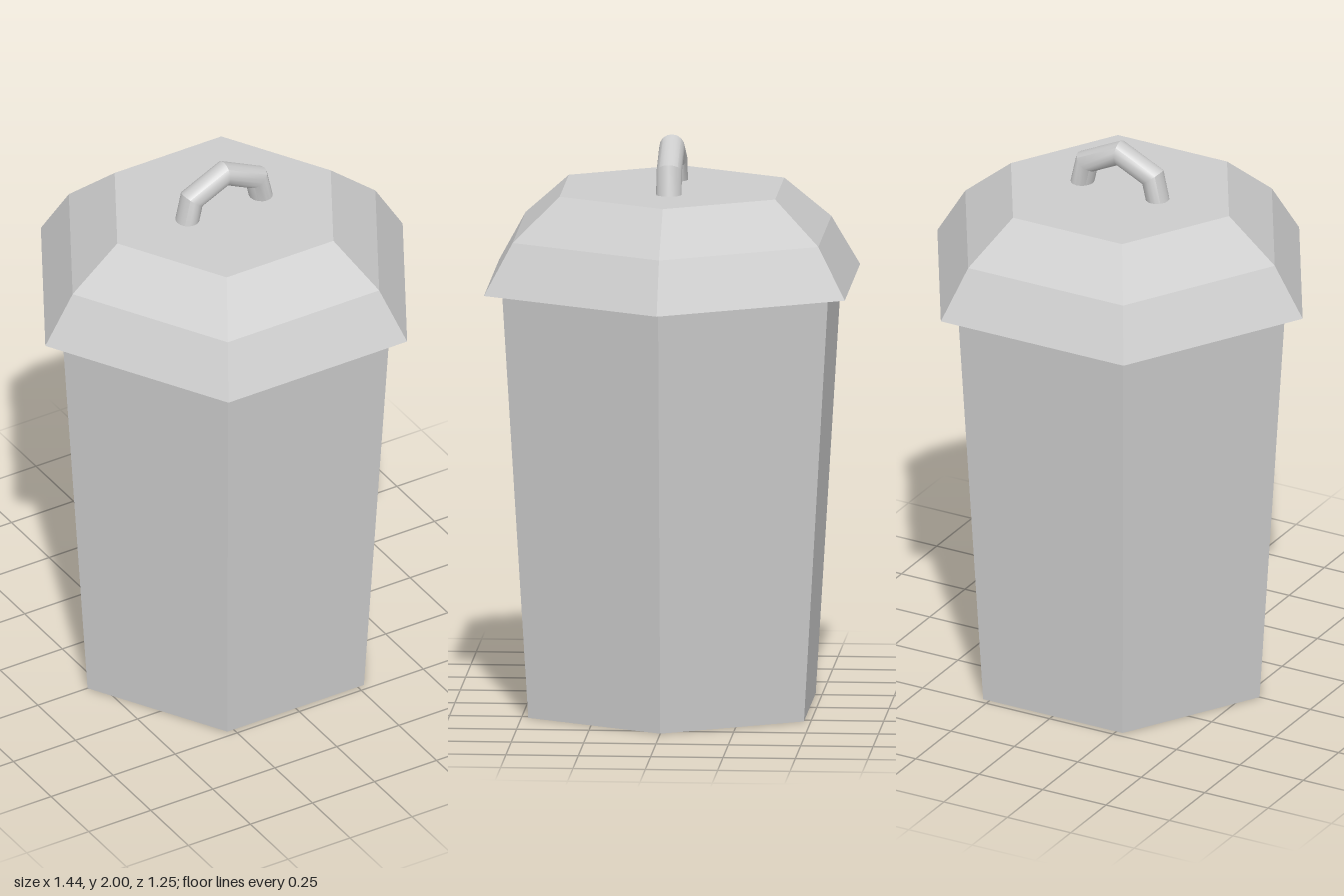
import * as THREE from 'three';
import { toCreasedNormals } from 'three/addons/utils/BufferGeometryUtils.js';

const SIDES = 6;
const grey = new THREE.MeshStandardMaterial({ color: 0xcccccc });
const flatGrey = new THREE.MeshStandardMaterial({ color: 0xcccccc, flatShading: true });

// Closed six-sided solid with corners on +x and -x; profile is [radius, height] from bottom to top
function hexSolid(name, profile) {
  const points = profile.map(([r, y]) => new THREE.Vector2(r, y));
  const lathe = new THREE.LatheGeometry(points, SIDES, Math.PI / 2);
  const geometry = lathe.toNonIndexed();
  geometry.computeVertexNormals();
  const mesh = new THREE.Mesh(geometry, flatGrey);
  mesh.name = name;
  return mesh;
}

export function createModel() {
  const bin = new THREE.Group();
  bin.name = 'lidded bin';

  // Tapered container, wider at the rim
  bin.add(hexSolid('body', [[0, 0], [0.55, 0], [0.65, 1.49], [0, 1.49]]));

  // Two-step faceted lid overhanging the rim
  bin.add(hexSolid('lid', [[0, 1.49], [0.72, 1.49], [0.61, 1.667], [0.43, 1.815], [0, 1.815]]));

  // Round bar bent in coarse steps, its ends sunk into the lid
  const arc = (4 / 7) * Math.PI * 2;
  const ring = new THREE.TorusGeometry(0.166, 0.044, 16, 4, arc);
  ring.rotateZ(Math.PI / 2 - arc / 2);
  const handle = new THREE.Mesh(toCreasedNormals(ring, 0.7), grey);
  handle.name = 'handle';
  handle.position.y = 1.79;
  bin.add(handle);

  return bin;
}
